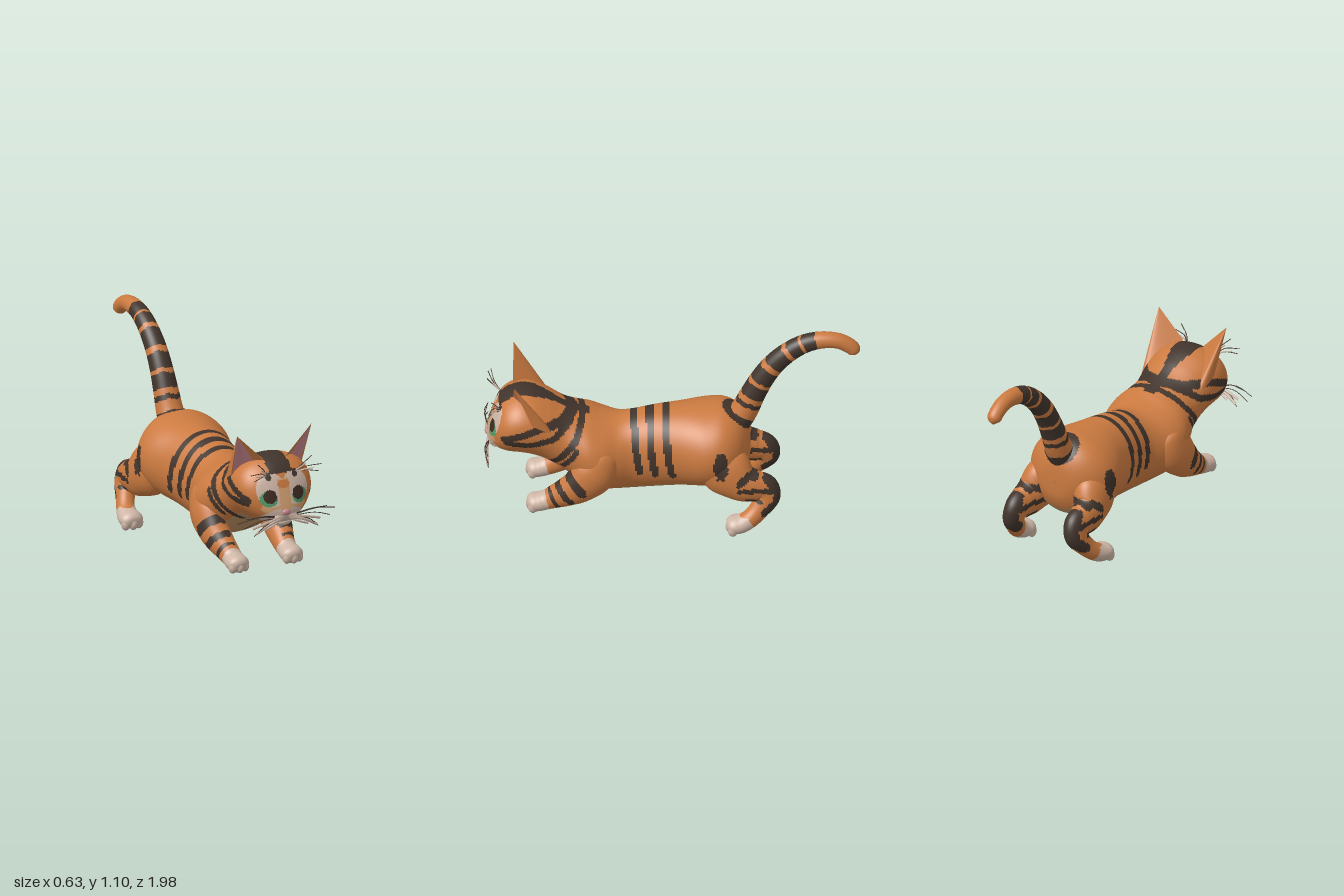
import * as THREE from 'three';

const mat = (name, color) => Object.assign(new THREE.MeshStandardMaterial({ color }), { name });
const M = {
  fur: mat('orange fur', 0xcb7a40),
  dark: mat('dark stripe', 0x41342c),
  cream: mat('cream fur', 0xcfb6a6),
  belly: mat('tan belly', 0xb98d60),
  light: mat('light orange fur', 0xd3a070),
  pink: mat('pink skin', 0xc8868c),
  green: mat('green iris', 0x559a68),
  pupil: mat('brown pupil', 0x3c2b22),
};

// Grid surface; rule(centre, v, u) picks the colour of each cell
function surface(name, nv, nu, closed, point, rule) {
  const pos = [], cols = closed ? nu : nu + 1, sets = {};
  for (let i = 0; i <= nv; i++)
    for (let j = 0; j < cols; j++) pos.push(...point(i / nv, j / nu));
  const centre = new THREE.Vector3(), corner = new THREE.Vector3();
  for (let i = 0; i < nv; i++)
    for (let j = 0; j < nu; j++) {
      const a = i * cols + j, b = i * cols + (j + 1) % cols, c = a + cols, d = b + cols;
      centre.set(0, 0, 0);
      for (const k of [a, b, c, d]) centre.addScaledVector(corner.fromArray(pos, k * 3), 0.25);
      (sets[rule(centre, (i + 0.5) / nv, (j + 0.5) / nu)] ??= []).push(a, b, c, b, d, c);
    }
  const g = new THREE.BufferGeometry(), index = [], mats = [];
  for (const key in sets) {
    g.addGroup(index.length, sets[key].length, mats.length);
    for (const k of sets[key]) index.push(k);
    mats.push(M[key]);
  }
  g.setAttribute('position', new THREE.Float32BufferAttribute(pos, 3));
  g.setIndex(index);
  g.computeVertexNormals();
  const mesh = new THREE.Mesh(g, mats);
  mesh.name = name;
  return mesh;
}

// Smooth interpolation through rows of numbers
function spline(rows, t) {
  const n = rows.length - 1, i = Math.min(Math.floor(t), n - 1), f = t - i;
  const [a, b, c, d] = [-1, 0, 1, 2].map(k => rows[Math.max(0, Math.min(n, i + k))]);
  return b.map((p, k) => p + 0.5 * f * (c[k] - a[k] + f * (2 * a[k] - 5 * p + 4 * c[k] - d[k]
    + f * (3 * (p - c[k]) + d[k] - a[k]))));
}

// Loft of elliptical sections; each row is x, y, z, side radius, up radius
function loft(name, rows, steps, sides, rule, { upright = false, egg = () => 0 } = {}) {
  const n = rows.length - 1;
  return surface(name, n * steps, sides, true, (v, u) => {
    const t = v * n, r = spline(rows, t), p = new THREE.Vector3(...r);
    const q0 = spline(rows, Math.max(0, t - 0.05)), q1 = spline(rows, Math.min(n, t + 0.05));
    const dir = upright ? new THREE.Vector3(0, 0, 1)
      : new THREE.Vector3(...q1).sub(new THREE.Vector3(...q0)).normalize();
    const side = new THREE.Vector3(1, 0, 0).addScaledVector(dir, -dir.x).normalize();
    const up = new THREE.Vector3().crossVectors(dir, side);
    const a = u * Math.PI * 2, s = Math.sin(a);
    p.addScaledVector(side, Math.max(r[3], 0.0005) * Math.cos(a) * (1 + egg(p.z) * s));
    return p.addScaledVector(up, Math.max(r[4], 0.0005) * s).toArray();
  }, rule);
}

// Stripes are lines in (z, y) with a half width
const near = (z, y, [w, ...pts]) => pts.slice(1).some(([z1, y1], i) => {
  const [z0, y0] = pts[i], dz = z1 - z0, dy = y1 - y0;
  const t = Math.max(0, Math.min(1, ((z - z0) * dz + (y - y0) * dy) / (dz * dz + dy * dy)));
  return Math.hypot(z - z0 - t * dz, y - y0 - t * dy) < w;
});
const inside = (x, y, cx, cy, rx, ry) => ((x - cx) / rx) ** 2 + ((y - cy) / ry) ** 2 < 1;
const flankSpot = (z, y) => inside(z, y, -0.26, 0.41, 0.038, 0.085);

const bodyStripes = [
  [0.019, [0.2, 0.63], [0.185, 0.45], [0.165, 0.33]],
  [0.02, [0.115, 0.65], [0.105, 0.45], [0.085, 0.32]],
  [0.019, [0.03, 0.66], [0.02, 0.45], [-0.005, 0.32]],
  [0.018, [0.45, 0.67], [0.5, 0.55], [0.6, 0.42], [0.64, 0.37]],
  [0.014, [0.5, 0.49], [0.57, 0.38]],
  [0.021, [0.88, 0.55], [0.82, 0.58], [0.7, 0.625], [0.58, 0.63], [0.47, 0.66]],
  [0.019, [0.87, 0.53], [0.75, 0.525], [0.62, 0.56], [0.53, 0.63]],
];

// Face colours, measured on the front
function face(x, y) {
  if (inside(x, y, 0.083, 0.574, 0.036, 0.036)) return 'pupil';
  if (inside(x, y, 0.09, 0.562, 0.047, 0.042)) return 'green';
  if (inside(x, y, 0.08, 0.675, 0.018, 0.02)) return 'dark';
  if (inside(x, y, 0, 0.632, 0.036, 0.022)) return 'fur';
  if (x < 0.032 && y > 0.5 && y < 0.66) return 'light';
  if (inside(x, y, 0.07, 0.605, 0.08, 0.088) || inside(x, y, 0, 0.445, 0.125, 0.066)) return 'cream';
  return inside(x, y, 0.06, 0.51, 0.07, 0.03) ? 'light' : null;
}

function bodyRule(c, v, u) {
  const x = Math.abs(c.x), { y, z } = c, s = Math.sin(u * Math.PI * 2);
  if (z > 0.43 && s > 0.3 && y > (z > 0.8 ? 0.685 : 0.6)
    && x < 0.03 + 0.036 * THREE.MathUtils.smoothstep(z, 0.58, 0.76)) return 'dark';
  const f = z > 0.85 && face(x, y);
  if (f) return f;
  if (bodyStripes.some(l => near(z, y, l))) return 'dark';
  if (flankSpot(z, y) && x > 0.1) return 'dark';
  if (Math.hypot(x, y - 0.6, z + 0.36) < 0.1) return 'dark';
  return s < -0.74 && z > -0.38 && z < 0.72 ? 'belly' : 'fur';
}

// z, bottom, top, half width from rump to nose
const bodyRows = [
  [-0.42, 0.41, 0.42, 0.002], [-0.41, 0.31, 0.53, 0.1], [-0.36, 0.225, 0.61, 0.19],
  [-0.28, 0.19, 0.645, 0.247], [-0.18, 0.185, 0.642, 0.254], [-0.05, 0.175, 0.632, 0.213],
  [0.08, 0.16, 0.618, 0.188], [0.2, 0.15, 0.592, 0.18], [0.28, 0.155, 0.577, 0.205],
  [0.36, 0.17, 0.59, 0.245], [0.43, 0.2, 0.615, 0.25], [0.5, 0.235, 0.637, 0.228],
  [0.57, 0.285, 0.667, 0.203], [0.65, 0.34, 0.715, 0.205], [0.73, 0.375, 0.75, 0.215],
  [0.8, 0.39, 0.757, 0.215], [0.86, 0.395, 0.735, 0.2], [0.905, 0.405, 0.695, 0.168],
  [0.935, 0.415, 0.635, 0.125], [0.955, 0.43, 0.57, 0.09], [0.968, 0.45, 0.52, 0.045],
  [0.975, 0.484, 0.488, 0.002],
].map(([z, b, t, w]) => [0, (b + t) / 2, z, w, (t - b) / 2]);

const tailRows = [
  [0.52, -0.33, 0.078], [0.61, -0.385, 0.073], [0.71, -0.43, 0.067], [0.81, -0.48, 0.062],
  [0.9, -0.54, 0.058], [0.975, -0.615, 0.054], [1.03, -0.7, 0.05], [1.055, -0.79, 0.046],
  [1.05, -0.88, 0.042], [1.015, -0.945, 0.04], [0.985, -0.966, 0.034], [0.962, -0.972, 0.002],
].map(([y, z, r]) => [0, y, z, r, r]);
const tailBands = [[0, 0.9], [1.5, 1.75], [2.05, 2.75], [2.95, 3.75], [4.05, 5], [5.25, 5.9], [6.05, 6.75]];

const frontLegRows = [
  [0.13, 0.5, 0.35, 0.002, 0.002], [0.145, 0.44, 0.365, 0.085, 0.085],
  [0.18, 0.34, 0.405, 0.088, 0.118], [0.185, 0.26, 0.48, 0.078, 0.1],
  [0.175, 0.21, 0.55, 0.07, 0.08], [0.165, 0.175, 0.61, 0.06, 0.065], [0.16, 0.15, 0.66, 0.056, 0.052],
  [0.16, 0.14, 0.7, 0.06, 0.05], [0.16, 0.138, 0.735, 0.058, 0.046], [0.16, 0.136, 0.757, 0.035, 0.03],
  [0.16, 0.135, 0.763, 0.002, 0.002],
];
const frontLegStripes = [
  [0.024, [0.56, 0.35], [0.5, 0.29], [0.47, 0.25]], [0.019, [0.61, 0.28], [0.53, 0.18]],
  [0.012, [0.64, 0.22], [0.6, 0.14]],
];
const hindLegRows = [
  [0.1, 0.44, -0.16, 0.002, 0.002], [0.125, 0.405, -0.21, 0.095, 0.11],
  [0.16, 0.335, -0.29, 0.1, 0.142], [0.185, 0.275, -0.37, 0.082, 0.11],
  [0.192, 0.255, -0.44, 0.07, 0.092], [0.192, 0.24, -0.49, 0.06, 0.08], [0.202, 0.19, -0.505, 0.055, 0.068],
  [0.222, 0.13, -0.465, 0.05, 0.055], [0.242, 0.085, -0.42, 0.05, 0.05], [0.252, 0.058, -0.37, 0.06, 0.05],
  [0.253, 0.052, -0.325, 0.063, 0.047], [0.253, 0.048, -0.297, 0.042, 0.03], [0.253, 0.047, -0.29, 0.002, 0.002],
];
const hindLegStripes = [
  [0.02, [-0.36, 0.31], [-0.4, 0.345], [-0.44, 0.34]], [0.02, [-0.5, 0.325], [-0.55, 0.27]],
  [0.015, [-0.36, 0.265], [-0.46, 0.265], [-0.53, 0.25]],
  [0.028, [-0.57, 0.26], [-0.56, 0.18], [-0.5, 0.13]], [0.012, [-0.4, 0.2], [-0.47, 0.19]],
];

function blob(name, material, p, s) {
  const m = new THREE.Mesh(new THREE.SphereGeometry(1, 20, 12), material);
  m.name = name;
  m.position.set(...p);
  m.scale.set(...s);
  return m;
}

// Back and lined front of an ear share the corners and tip
function ear(side, back) {
  const V = (x, y, z) => new THREE.Vector3(x * side, y, z);
  const mid = back ? V(0.2, 0.5, 0.48) : V(0.14, 0.65, 0.715), tip = V(0.22, 0.9, 0.83);
  const base = new THREE.QuadraticBezierCurve3(V(0.065, 0.745, 0.835), mid, V(0.208, 0.65, 0.735));
  const flip = back === (side > 0);
  return surface(back ? 'earBack' : 'earLining', 24, 32, false,
    (v, u) => base.getPoint(flip ? 1 - u : u).lerp(tip, v).toArray(),
    (c, v, u) => {
      const w = flip ? 1 - u : u; // from inner to outer edge
      return !back && w > 0.2 && w < 0.95 && v < 0.92 ? 'pink' : 'fur';
    });
}

const whiskers = [
  ['dark', 0.0022, [0.06, 0.46, 0.96], [0.17, 0.485, 0.985], [0.29, 0.462, 0.965]],
  ['dark', 0.0022, [0.06, 0.455, 0.96], [0.16, 0.46, 0.98], [0.26, 0.425, 0.965]],
  ['dark', 0.0022, [0.06, 0.465, 0.96], [0.14, 0.485, 0.98], [0.24, 0.48, 0.97]],
  ['dark', 0.0022, [0.05, 0.45, 0.96], [0.13, 0.43, 0.98], [0.19, 0.375, 0.965]],
  ['cream', 0.008, [0.02, 0.452, 0.965], [0.1, 0.432, 0.975], [0.18, 0.388, 0.968]],
  ['cream', 0.007, [0.03, 0.458, 0.965], [0.11, 0.445, 0.975], [0.2, 0.42, 0.968]],
  ['cream', 0.006, [0.02, 0.445, 0.96], [0.08, 0.42, 0.97], [0.13, 0.4, 0.965]],
  ['dark', 0.0022, [0.085, 0.67, 0.89], [0.13, 0.71, 0.94], [0.21, 0.72, 0.965]],
  ['dark', 0.0022, [0.085, 0.67, 0.89], [0.11, 0.72, 0.93], [0.16, 0.77, 0.95]],
  ['cream', 0.004, [0.085, 0.67, 0.89], [0.1, 0.7, 0.92], [0.13, 0.73, 0.94]],
  ['cream', 0.004, [0.085, 0.67, 0.89], [0.12, 0.69, 0.93], [0.17, 0.7, 0.95]],
  ['dark', 0.0022, [0.085, 0.67, 0.89], [0.13, 0.69, 0.94], [0.19, 0.685, 0.97]],
];

export function createModel() {
  const cat = new THREE.Group();
  cat.name = 'cat';
  cat.add(loft('bodyAndHead', bodyRows, 11, 136, bodyRule,
    { upright: true, egg: z => 0.1 * THREE.MathUtils.smoothstep(z, 0.5, 0.75) }));
  cat.add(loft('tail', tailRows, 16, 36, (c, v) => {
    const t = v * (tailRows.length - 1) + 0.04 * Math.sin(c.x * 60);
    return tailBands.some(([a, b]) => t > a && t < b) ? 'dark' : 'fur';
  }));
  cat.add(blob('nose', M.pink, [0, 0.485, 0.97], [0.024, 0.018, 0.014]));
  cat.add(blob('chin', M.cream, [0, 0.42, 0.93], [0.05, 0.022, 0.026]));

  for (const side of [1, -1]) {
    const half = new THREE.Group();
    half.name = side > 0 ? 'leftParts' : 'rightParts';
    const mirror = rows => rows.map(([x, ...r]) => [x * side, ...r]);
    half.add(loft('frontLeg', mirror(frontLegRows), 10, 44, ({ x, y, z }) =>
      z - 0.3 * y > 0.605 ? 'cream'
        : Math.abs(x) > 0.14 && frontLegStripes.some(l => near(z, y, l)) ? 'dark' : 'fur'));
    half.add(loft('hindLeg', mirror(hindLegRows), 10, 44, ({ x, y, z }) =>
      y < 0.108 && z - 0.5 * y > -0.46 ? 'cream'
        : hindLegStripes.some(l => near(z, y, l)) || (Math.abs(x) > 0.17 && flankSpot(z, y)) ? 'dark' : 'fur'));
    // Toes on both paws
    for (const k of [-1, 0, 1]) {
      half.add(blob('frontToe', M.cream, [side * (0.16 + k * 0.036), 0.126, 0.742 - 0.012 * k * k], [0.023, 0.033, 0.026]));
      half.add(blob('hindToe', M.cream, [side * (0.253 + k * 0.038), 0.037, -0.312 - 0.012 * k * k], [0.025, 0.036, 0.027]));
    }
    half.add(ear(side, true), ear(side, false));
    half.add(blob('muzzle', M.cream, [side * 0.034, 0.457, 0.942], [0.046, 0.026, 0.031]));
    for (const [key, r, ...pts] of whiskers) {
      const path = new THREE.CatmullRomCurve3(pts.map(([x, y, z]) => new THREE.Vector3(x * side, y, z)));
      const w = new THREE.Mesh(new THREE.TubeGeometry(path, 12, r, 5), M[key]);
      w.name = 'whisker';
      half.add(w);
    }
    cat.add(half);
  }
  return cat;
}
